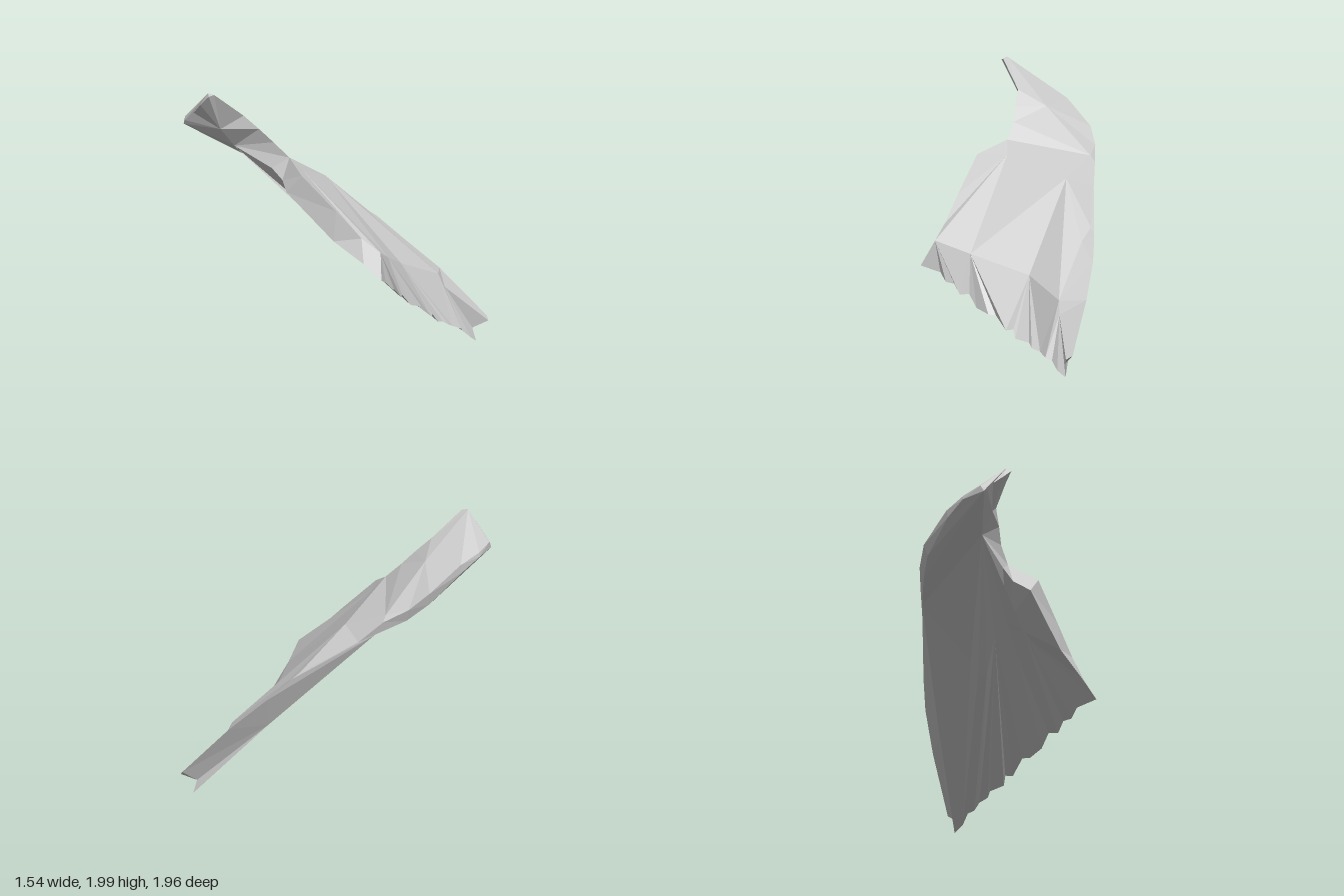
import * as THREE from 'three';

const material = new THREE.MeshStandardMaterial({ color: 0xc8c8c8, flatShading: true, side: THREE.DoubleSide });
material.name = 'light grey';

const v = (x, y, z) => new THREE.Vector3(x, y, z);

// Stitch two rails of points into a faceted band, advancing along both by their relative length
function stitch(a, b) {
  const progress = (rail) => {
    const d = [0];
    for (let i = 1; i < rail.length; i++) d.push(d[i - 1] + rail[i].distanceTo(rail[i - 1]));
    return d.map((s) => s / (d[d.length - 1] || 1));
  };
  const pa = progress(a), pb = progress(b), tris = [];
  let i = 0, j = 0;
  while (i < a.length - 1 || j < b.length - 1) {
    const stepA = j === b.length - 1 || (i < a.length - 1 && pa[i + 1] <= pb[j + 1]);
    if (stepA) tris.push([a[i], a[i + 1], b[j]]), i++;
    else tris.push([a[i], b[j + 1], b[j]]), j++;
  }
  return tris;
}

const fan = (hub, rail) => rail.slice(1).map((p, i) => [hub, rail[i], p]);

// Make one mesh from triangles, turning each towards the given outward direction
function part(name, outward, ...bands) {
  const pos = [], n = v(0, 0, 0), e = v(0, 0, 0);
  for (const [a, b, c] of bands.flat()) {
    n.subVectors(b, a).cross(e.subVectors(c, a));
    if (n.length() < 1e-7) continue;
    for (const p of n.dot(outward) < 0 ? [a, c, b] : [a, b, c]) pos.push(p.x, p.y, p.z);
  }
  const g = new THREE.BufferGeometry();
  g.setAttribute('position', new THREE.Float32BufferAttribute(pos, 3));
  g.computeVertexNormals();
  const m = new THREE.Mesh(g, material);
  m.name = name;
  return m;
}

export function createModel() {
  const group = new THREE.Group();
  group.name = 'raggedShard';

  // Narrow upper tip
  const tipTop = v(-0.5, 1.99, 0.95), tipRight = v(-0.45, 1.98, 0.94);
  const tipLeft = v(-0.73, 1.79, 0.93), tipLow = v(-0.72, 1.74, 0.96);
  const tipEdge = [tipRight, v(-0.47, 1.97, 0.98), v(-0.55, 1.9, 0.98), v(-0.63, 1.83, 0.955), v(-0.7, 1.77, 0.97), tipLow];

  // Ridge and hub of the upper face
  const ridgeMid = v(-0.48, 1.69, 0.5), ridgeEnd = v(-0.5, 1.385, 0.04), hub = v(-0.18, 1.27, -0.05);

  // Left rim, upper and lower edges
  const rimEnd = v(-0.38, 1.19, -0.13), shoulder = v(-0.46, 1.24, -0.04);
  const leftTop = [tipLeft, v(-0.765, 1.75, 0.78), v(-0.76, 1.7, 0.58), v(-0.72, 1.54, 0.28), v(-0.64, 1.43, 0.14), v(-0.51, 1.34, 0.0), rimEnd];
  const leftLow = [tipLeft, v(-0.77, 1.72, 0.78), v(-0.76, 1.64, 0.6), v(-0.7, 1.45, 0.3), v(-0.61, 1.34, 0.15), shoulder];

  // Rear rim down to the pointed rear corner
  const rearTip = v(0.6, 0.18, -0.98), rearTip2 = v(0.64, 0.15, -0.95);
  const bottom = v(0.58, 0, -0.88), endNotch = v(0.56, 0.1, -0.86);
  const rearRim = [rimEnd, v(-0.05, 0.92, -0.5), v(0.08, 0.76, -0.63), v(0.3, 0.53, -0.8), rearTip];
  const rearMid = v(0.14, 0.54, -0.54);
  const grooveA = v(-0.08, 0.97, -0.43), grooveB = v(0.03, 0.88, -0.45);

  // Front side: upper and lower edges
  const elbow = v(0.11, 1.39, 0.61), corner = v(0.7, 0.85, 0.42), frontLow = v(0.77, 0.66, 0.5);
  const neck = [tipRight, v(-0.37, 1.8, 0.69), v(-0.28, 1.7, 0.62), v(-0.2, 1.6, 0.55), v(-0.09, 1.49, 0.5), elbow];
  const bend = v(-0.03, 1.4, 0.43);
  const sideTop = [elbow, v(0.37, 1.14, 0.53), v(0.56, 0.95, 0.47), corner];
  const knot = v(-0.48, 1.56, 0.66), neckLow = v(-0.5, 1.7, 0.8), elbowLow = v(0, 1.26, 0.65);
  const neckUnder = [knot, v(-0.2, 1.41, 0.57), v(-0.1, 1.33, 0.57), elbowLow];
  const sideLow = [elbowLow, v(0.37, 0.92, 0.56), v(0.62, 0.77, 0.52), frontLow];

  // Crease above the ragged end
  const creaseMid = v(0.575, 0.77, 0.17), creaseLow = v(0.37, 0.645, -0.25);
  const notch = v(0.42, 0.52, -0.63), notchLow = v(0.45, 0.42, -0.67);

  // Ragged lower edge
  const ragged = [
    frontLow, v(0.7, 0.62, 0.36), v(0.71, 0.56, 0.29), v(0.68, 0.55, 0.23), v(0.69, 0.48, 0.16), v(0.65, 0.49, 0.1),
    v(0.66, 0.4, 0.01), v(0.66, 0.37, -0.12), v(0.61, 0.36, -0.15), v(0.63, 0.27, -0.28), v(0.6, 0.28, -0.33),
    v(0.62, 0.22, -0.37), v(0.58, 0.2, -0.48), v(0.6, 0.17, -0.53), v(0.58, 0.15, -0.6), v(0.6, 0.12, -0.68),
    v(0.57, 0.1, -0.72), v(0.59, 0.04, -0.8), bottom,
  ];

  // Folds of the underside, fanning out from the knot
  const under = v(-0.49, -0.76, 0.43);
  const folds = ragged.filter((p, i) => i % 3 === 0 && i > 0).map((p, i) =>
    knot.clone().lerp(p, 0.5 + 0.08 * Math.sin(i * 2.3)).addScaledVector(under, i % 2 ? -0.03 : 0.01));
  const pocket = v(0, 1.09, 0.38);
  const lastFold = folds[folds.length - 1];

  group.add(
    part('upperFace', v(0.35, 1, 0),
      stitch([tipTop, ridgeMid, ridgeEnd, hub], [...neck.slice(0, -1), bend]),
      fan(bend, [neck[4], ...sideTop, creaseMid, hub]),
      fan(hub, [creaseMid, creaseLow, notch])),
    part('leftSlope', v(-0.5, 1, -0.5),
      stitch([tipTop, ridgeMid, ridgeEnd], leftTop.slice(0, -1)),
      fan(hub, [ridgeEnd, leftTop[5], rimEnd])),
    part('rearSlope', v(0, 1, -0.4),
      stitch([hub, grooveA, grooveB, notch, notchLow, rearTip2], rearRim),
      [[hub, grooveA, grooveB], [hub, grooveB, notch]]),
    part('frontSide', v(0.6, 0.1, 1),
      stitch(neck.slice(1), [neckLow, ...neckUnder]),
      stitch(sideTop, sideLow)),
    part('raggedEnd', v(0.8, 0.4, -0.4),
      stitch([corner, creaseMid], ragged.slice(0, 6)),
      stitch([creaseMid, creaseLow], ragged.slice(5, 11)),
      stitch([creaseLow, notch, notchLow], ragged.slice(10, 17)),
      fan(notchLow, [...ragged.slice(-3), endNotch, rearTip2])),
    part('leftWall', v(-0.8, -0.2, -0.5),
      stitch(leftTop, leftLow)),
    part('rearWall', v(-0.7, -0.5, -0.6),
      stitch(rearRim, [shoulder, rearMid, endNotch]),
      [[rearMid, endNotch, bottom], [rearTip, rearTip2, endNotch]]),
    part('tipCap', v(0, 0.1, 1),
      stitch([tipRight, tipTop, tipLeft], tipEdge)),
    part('neckUnderside', v(-0.1, -0.7, 0.7),
      fan(neckLow, [neck[1], ...tipEdge, knot]),
      stitch(leftLow, [tipLow, knot])),
    part('foldedUnderside', under,
      fan(knot, [pocket, ...folds]),
      stitch([pocket, ...folds], ragged),
      fan(pocket, [...neckUnder, ...sideLow.slice(1)]),
      stitch([knot, lastFold, bottom], [shoulder, rearMid, bottom])),
  );
  return group;
}
